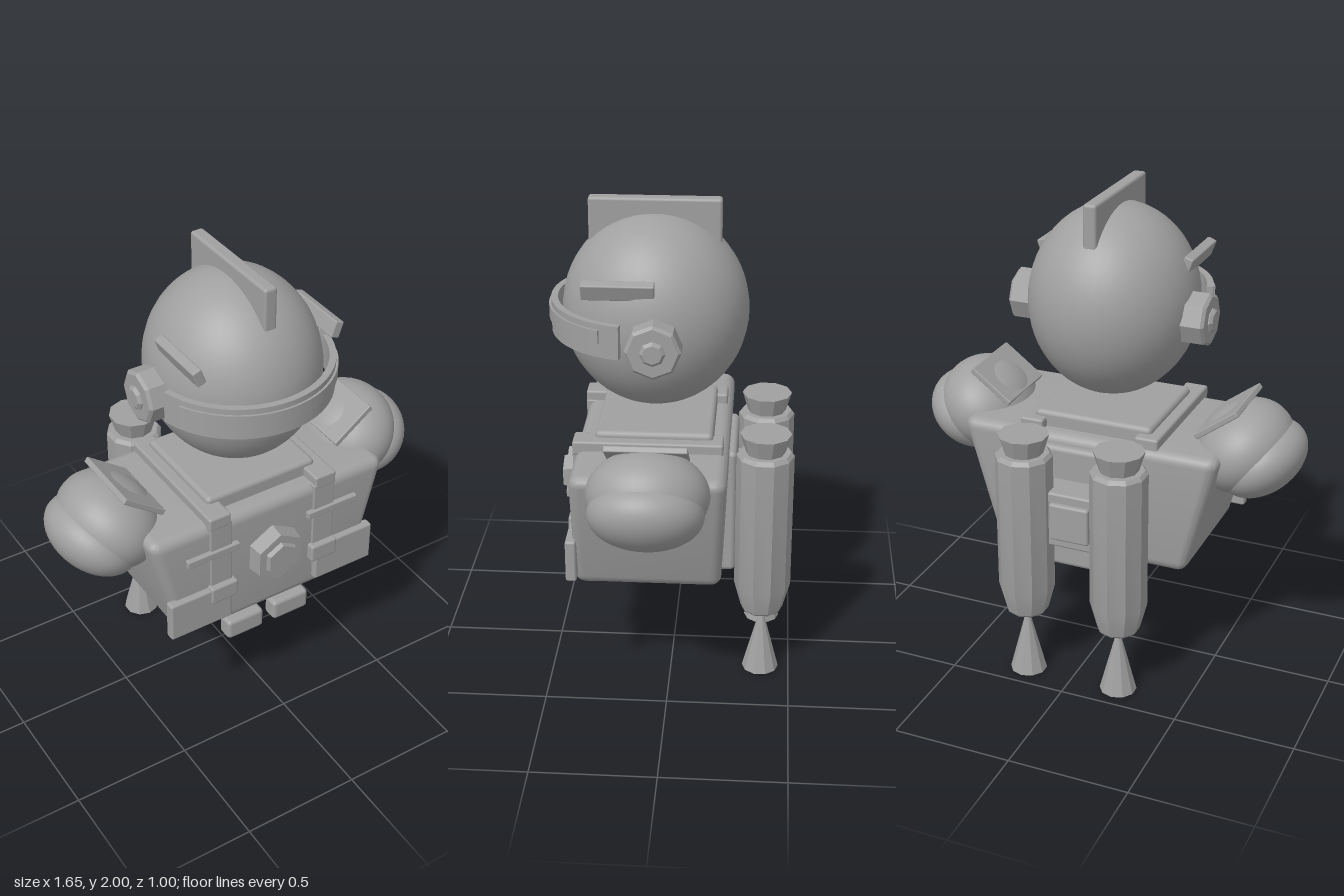
import * as THREE from 'three';
import { toCreasedNormals } from 'three/addons/utils/BufferGeometryUtils.js';
import { RoundedBoxGeometry } from 'three/addons/geometries/RoundedBoxGeometry.js';

const grey = new THREE.MeshStandardMaterial({ color: 0xa0a0a0 });
grey.name = 'plain grey';

export function createModel() {
  const root = new THREE.Group();
  root.name = 'jetpackFigure';

  const add = (name, geometry, x = 0, y = 0, z = 0, parent = root) => {
    const mesh = new THREE.Mesh(geometry, grey);
    mesh.name = name;
    mesh.position.set(x, y, z);
    parent.add(mesh);
    return mesh;
  };
  // Rounded box given by its limits on each axis
  const block = (name, [x0, x1], [y0, y1], [z0, z1], r = 0.01) =>
    add(name, new RoundedBoxGeometry(x1 - x0, y1 - y0, z1 - z0, 2, r),
      (x0 + x1) / 2, (y0 + y1) / 2, (z0 + z1) / 2);
  const ellipsoid = (name, x, y, z, rx, ry, rz) => {
    const mesh = add(name, new THREE.SphereGeometry(1, 40, 28), x, y, z);
    mesh.scale.set(rx, ry, rz);
    return mesh;
  };
  const span = (side, a, b) => (side > 0 ? [a, b] : [-b, -a]);
  const faceted = (geometry) => toCreasedNormals(geometry, 0.4);

  // Head with a crest fin
  ellipsoid('head', 0, 1.545, 0.073, 0.347, 0.395, 0.373);
  block('crestFin', [-0.028, 0.028], [1.72, 2.0], [-0.188, 0.336], 0.012);

  // Curved visor bands wrapped around the face
  const band = (name, inner, outer, y0, y1, halfAngle) => {
    const mid = Math.PI / 2;
    const shape = new THREE.Shape();
    shape.absarc(0, 0, outer, mid - halfAngle, mid + halfAngle, false);
    shape.absarc(0, 0, inner, mid + halfAngle, mid - halfAngle, true);
    const geometry = new THREE.ExtrudeGeometry(shape,
      { depth: y1 - y0, bevelEnabled: false, curveSegments: 32 });
    geometry.rotateX(Math.PI / 2);
    add(name, toCreasedNormals(geometry, 0.5), 0, y1, 0.105);
  };
  band('visor', 0.358, 0.385, 1.465, 1.6, 1.35);
  band('visorStrip', 0.38, 0.394, 1.522, 1.576, 1.14);

  // Torso: rounded block, wider at the shoulders
  const torso = new RoundedBoxGeometry(1, 0.54, 0.6, 4, 0.045);
  const p = torso.attributes.position;
  for (let i = 0; i < p.count; i++) {
    const t = p.getY(i) / 0.54 + 0.5;
    p.setX(i, p.getX(i) * (0.84 + 0.28 * t));
    if (p.getZ(i) < 0) p.setZ(i, p.getZ(i) * (0.97 + 0.08 * t));
  }
  add('torso', toCreasedNormals(torso, 0.6), 0, 0.77, 0.078);
  block('collarPlate', [-0.255, 0.255], [1.02, 1.105], [-0.17, 0.3], 0.02);

  // Hexagonal chest emblem
  [[0.125, 0.36, 0.442], [0.083, 0.42, 0.462]].forEach(([r, z0, z1], i) => {
    const hex = new THREE.CylinderGeometry(r - 0.012, r, z1 - z0, 6);
    hex.rotateX(Math.PI / 2);
    add(i ? 'emblemCore' : 'emblemBase', faceted(hex), 0, 0.8, (z0 + z1) / 2);
  });

  // Jetpack mount
  block('packPlate', [-0.2, 0.2], [0.455, 1.0], [-0.265, -0.18], 0.02);
  block('packCrossbar', [-0.085, 0.085], [0.66, 0.82], [-0.415, -0.25]);
  block('packLink', [-0.15, 0.15], [0.62, 0.86], [-0.395, -0.25]);

  for (const s of [1, -1]) {
    const side = s > 0 ? 'left' : 'right';

    // Ear pods and brow bars
    for (const [part, r, x0, x1] of [['EarPod', 0.11, 0.3, 0.42], ['EarButton', 0.05, 0.4, 0.436]]) {
      const w = 0.012;
      const pod = new THREE.LatheGeometry([[0, x0], [r, x0], [r, x1 - w], [r - w, x1], [0, x1]]
        .map(([a, b]) => new THREE.Vector2(a, b)), 8);
      pod.rotateZ(-Math.PI / 2);
      const mesh = add(side + part, faceted(pod), 0, 1.513, 0.056);
      if (s < 0) mesh.rotation.y = Math.PI;
    }
    const brow = block(side + 'BrowBar', [s * 0.307 - 0.02, s * 0.307 + 0.02],
      [1.685, 1.755], [0.055, 0.336], 0.006);
    brow.rotation.z = -s * 0.35;

    // Shoulder, arm and tilted shoulder pad
    const tilt = s * 0.644;
    ellipsoid(side + 'Shoulder', s * 0.575, 0.993, 0.065, 0.21, 0.18, 0.24).rotation.z = tilt;
    ellipsoid(side + 'Arm', s * 0.652, 0.95, 0.067, 0.192, 0.138, 0.225).rotation.z = tilt;
    const pad = add(side + 'ShoulderPad', new RoundedBoxGeometry(0.215, 0.025, 0.32, 2, 0.005),
      s * 0.497, 1.127, 0.072);
    pad.rotation.z = tilt;

    // Harness strap, buckle, chest bar, hip pouch and foot block
    block(side + 'StrapTop', span(s, 0.2, 0.3), [1.02, 1.08], [-0.213, 0.388]);
    block(side + 'StrapFront', span(s, 0.195, 0.295), [0.68, 1.04], [0.34, 0.387], 0.005);
    block(side + 'Buckle', span(s, 0.18, 0.305), [0.66, 0.74], [0.35, 0.412]);
    block(side + 'ChestBar', span(s, 0.165, 0.405), [0.888, 0.92], [0.36, 0.4], 0.004);
    block(side + 'HipPouch', span(s, 0.205, 0.49), [0.55, 0.73], [0.36, 0.404]);
    block(side + 'FootBlock', span(s, 0.025, 0.2), [0.375, 0.47], [0.295, 0.37], 0.018);

    // Rocket tube with flared cap and tapered nozzle, and its flame
    const profile = [[0, 0.29], [0.08, 0.29], [0.088, 0.3], [0.117, 0.41], [0.117, 1.0],
      [0.104, 1.016], [0.08, 1.016], [0.104, 1.095], [0, 1.095]];
    const tube = new THREE.LatheGeometry(profile.map(([r, y]) => new THREE.Vector2(r, y)), 10);
    add(side + 'Rocket', faceted(tube), s * 0.205, 0, -0.38);
    add(side + 'Flame', faceted(new THREE.ConeGeometry(0.077, 0.3, 10)), s * 0.205, 0.15, -0.38);
  }
  return root;
}
